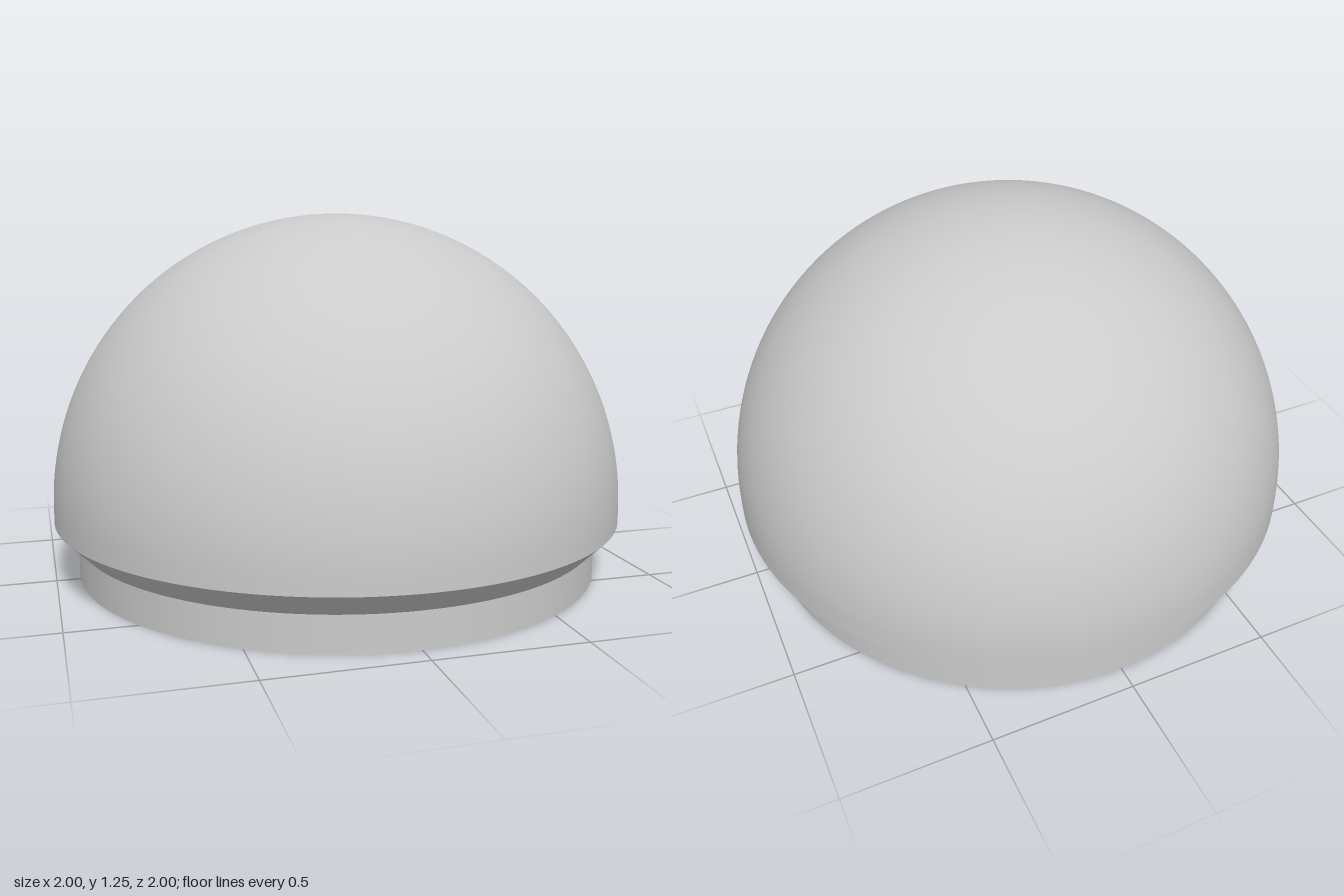
import * as THREE from 'three';

const SEGMENTS = 128;
const CENTRE_Y = 0.25; // height of the dome's centre
const OUTER = 1, NECK = 0.92, INNER = 0.87;
const LIP = NECK - INNER; // radius of the rounded lip

// Points along an arc of the profile, from angle a to angle b
function arc(cx, cy, r, a, b, n) {
  return Array.from({ length: n + 1 }, (_, i) => {
    const t = a + (b - a) * i / n;
    return new THREE.Vector2(Math.max(0, cx + r * Math.cos(t)), cy + r * Math.sin(t));
  });
}

export function createModel() {
  const model = new THREE.Group();
  model.name = 'hollowDome';
  const material = new THREE.MeshStandardMaterial({ color: 0xcccccc });

  // Each smooth band is its own lathe, so edges between bands stay sharp
  const addBand = (name, points) => {
    const mesh = new THREE.Mesh(new THREE.LatheGeometry(points, SEGMENTS), material);
    mesh.name = name;
    model.add(mesh);
  };
  const p = (x, y) => new THREE.Vector2(x, y);

  // Outer shell with a short straight skirt
  addBand('domeShell', [p(OUTER, 0.2), ...arc(0, CENTRE_Y, OUTER, 0, Math.PI / 2, 48)]);

  // Sloped underside of the dome and the narrower neck
  addBand('bevel', [p(NECK, 0.12), p(OUTER, 0.2)]);
  addBand('neck', [p(NECK, 0), p(NECK, 0.12)]);

  // Hollow inside, running down into the rounded lip
  addBand('innerShell', [
    ...arc(0, CENTRE_Y, INNER, Math.PI / 2, 0, 48),
    ...arc(NECK, LIP, LIP, Math.PI, Math.PI * 1.5, 8),
  ]);

  return model;
}
